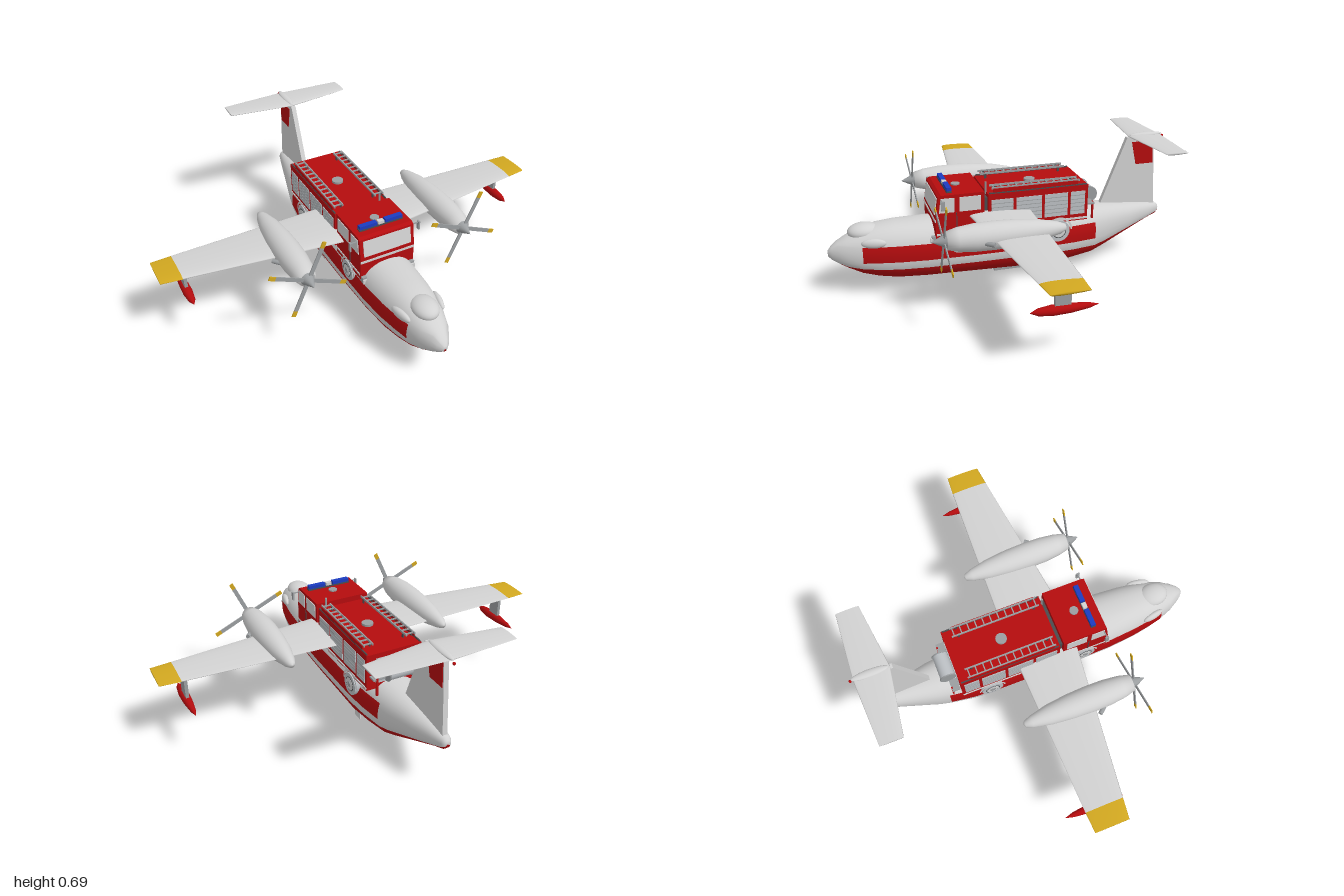
import * as THREE from 'three';

const mat = (name, color) => Object.assign(new THREE.MeshStandardMaterial({ color }), { name });
const red = mat('red', 0xb40c0e);
const white = mat('light grey', 0xd2d2d2);
const grey = mat('mid grey', 0x9b9ea0);
const panel = mat('shutter grey', 0xbcc0c4);
const dark = mat('dark grey', 0x4a4c4e);
const yellow = mat('yellow', 0xd2a820);
const blue = mat('blue', 0x1c3cc0);

const lerp = THREE.MathUtils.lerp;

export function createModel() {
  const root = new THREE.Group();
  const add = (name, geo, material, x = 0, y = 0, z = 0, parent = root) => {
    const m = new THREE.Mesh(geo, material);
    m.name = name;
    m.position.set(x, y, z);
    parent.add(m);
    return m;
  };
  const box = (name, material, w, h, d, x, y, z, parent) =>
    add(name, new THREE.BoxGeometry(w, h, d), material, x, y, z, parent);
  const cyl = (name, material, r, len, axis, x, y, z, sides = 24, parent = root) => {
    const g = new THREE.CylinderGeometry(r, r, len, sides);
    if (axis === 'x') g.rotateZ(Math.PI / 2);
    if (axis === 'z') g.rotateX(Math.PI / 2);
    return add(name, g, material, x, y, z, parent);
  };
  // flat slab from a side outline of [z, y] points, centred on x
  const slab = (name, material, pts, t, x = 0) => {
    const s = new THREE.Shape(pts.map(p => new THREE.Vector2(p[0], p[1])));
    const g = new THREE.ExtrudeGeometry(s, { depth: t, bevelEnabled: false });
    g.rotateY(-Math.PI / 2).translate(t / 2, 0, 0);
    return add(name, g, material, x);
  };
  // skin over closed rings (counter-clockwise about their axis); pick(i, j) gives the material index
  const loft = (name, rings, materials, pick = () => 0) => {
    const n = rings[0].length, pos = rings.flat(2), lists = materials.map(() => []);
    for (let i = 0; i < rings.length - 1; i++) for (let j = 0; j < n; j++) {
      const a = i * n + j, b = i * n + (j + 1) % n;
      lists[pick(i, j)].push(a, b, b + n, a, b + n, a + n);
    }
    [0, rings.length - 1].forEach((r, end) => {
      const c = pos.length / 3;
      for (let k = 0; k < 3; k++) pos.push(rings[r].reduce((s, p) => s + p[k], 0) / n);
      for (let j = 0; j < n; j++) {
        const a = r * n + j, b = r * n + (j + 1) % n;
        lists[pick(end ? r - 1 : 0, j)].push(...(end ? [a, b, c] : [b, a, c]));
      }
    });
    const g = new THREE.BufferGeometry();
    g.setAttribute('position', new THREE.Float32BufferAttribute(pos, 3));
    g.setIndex(lists.flat());
    let start = 0;
    lists.forEach((l, k) => { g.addGroup(start, l.length, k); start += l.length; });
    g.computeVertexNormals();
    return add(name, g, materials);
  };

  // hull: z, top, bottom, half width, top of the red bottom
  const stations = [
    [-0.865, 0.29, 0.255, 0.016, 0.262], [-0.85, 0.302, 0.24, 0.026, 0.255], [-0.8, 0.31, 0.222, 0.04, 0.235],
    [-0.68, 0.322, 0.168, 0.07, 0.2], [-0.53, 0.335, 0.1, 0.108, 0.156], [-0.47, 0.338, 0.074, 0.118, 0.142],
    [-0.35, 0.345, 0.056, 0.135, 0.142], [-0.23, 0.35, 0.042, 0.143, 0.143], [0.14, 0.355, 0.054, 0.147, 0.145],
    [0.4, 0.357, 0.061, 0.143, 0.146], [0.54, 0.357, 0.068, 0.131, 0.147], [0.63, 0.35, 0.084, 0.117, 0.15],
    [0.71, 0.33, 0.108, 0.1, 0.155], [0.775, 0.303, 0.142, 0.078, 0.162], [0.82, 0.28, 0.168, 0.053, 0.175],
    [0.85, 0.257, 0.188, 0.032, 0.19], [0.868, 0.235, 0.206, 0.012, 0.208]];
  const N = 2.3, segs = [8, 2, 3, 8], bands = segs.flatMap((s, k) => Array(s).fill(k));
  const hullRings = stations.map(([z, T, B, W, y1]) => {
    const y2 = Math.max(0.185, lerp(y1, T, 0.2));
    const y3 = Math.min(Math.max(0.27, lerp(y1, T, 0.5)), lerp(y1, T, 0.9));
    const c = (T + B) / 2, h = (T - B) / 2;
    const angles = [B, y1, Math.min(y2, y3 - 0.002), y3, T].map(y => {
      const t = THREE.MathUtils.clamp((y - c) / h, -1, 1);
      return Math.sign(t) * Math.asin(Math.abs(t) ** (N / 2));
    });
    const half = [];
    segs.forEach((s, k) => { for (let i = 0; i < s; i++) half.push(lerp(angles[k], angles[k + 1], i / s)); });
    half.push(Math.PI / 2);
    const pts = half.map(a => [W * Math.max(0, Math.cos(a)) ** (2 / N),
      c + h * Math.sign(Math.sin(a)) * Math.abs(Math.sin(a)) ** (2 / N), z]);
    return [...pts, ...pts.slice(1, -1).reverse().map(p => [-p[0], p[1], z])];
  });
  loft('hull', hullRings, [white, red], (i, j) => {
    const k = bands[j < bands.length ? j : 2 * bands.length - 1 - j];
    return k === 0 || (k === 2 && i >= 5 && i < 12) ? 1 : 0;
  });

  // cockpit blisters
  const blob = (name, x, y, z, rx, ry, rz, m = white) =>
    add(name, new THREE.SphereGeometry(1, 24, 16).scale(rx, ry, rz), m, x, y, z);
  blob('noseDome', 0, 0.318, 0.69, 0.062, 0.042, 0.08);
  for (const s of [-1, 1]) blob('sideBlister', s * 0.098, 0.288, 0.655, 0.018, 0.024, 0.06).rotation.y = -s * 0.2;

  // keel plate and water scoops
  box('keelPlate', grey, 0.055, 0.016, 0.39, 0, 0.035, -0.15);
  for (const s of [-1, 1]) box('scoop', white, 0.006, 0.055, 0.05, s * 0.07, 0.028, -0.185);

  // wing and tailplane: x, leading z, trailing z, mid y, thickness
  const foil = ([x, lead, trail, y, t]) => Array.from({ length: 24 }, (_, i) => {
    const a = i / 24 * Math.PI * 2, s = Math.sin(a);
    return [x, y + t / 2 * Math.cos(a) * (0.75 + 0.25 * s), (lead + trail) / 2 + s * (lead - trail) / 2];
  });
  const mirror = st => [...st.slice().reverse().map(s => [-s[0], ...s.slice(1)]), ...st];
  const wing = [[0.1, 0.205, -0.108, 0.395, 0.034], [0.9, 0.108, -0.08, 0.397, 0.021],
    [0.9, 0.108, -0.08, 0.397, 0.021], [1, 0.096, -0.074, 0.398, 0.016]];
  loft('wing', mirror(wing).map(foil), [white, yellow], i => (i === 0 || i === 6 ? 1 : 0));
  loft('tailplane', mirror([[0.001, -0.675, -0.85, 0.678, 0.022], [0.333, -0.72, -0.832, 0.678, 0.014]]).map(foil), [white]);
  blob('tailFairing', 0, 0.683, -0.77, 0.02, 0.012, 0.09);
  blob('tailBeacon', 0, 0.67, -0.864, 0.007, 0.007, 0.007, red);

  // fin with red side patches
  slab('fin', white, [[-0.53, 0.325], [-0.84, 0.29], [-0.812, 0.675], [-0.665, 0.675]], 0.024);
  for (const s of [-1, 1])
    slab('finPatch', red, [[-0.72, 0.53], [-0.815, 0.53], [-0.808, 0.65], [-0.692, 0.65]], 0.004, s * 0.0125);

  for (const s of [-1, 1]) {
    // engine pod
    const pod = new THREE.Group();
    pod.name = 'enginePod';
    pod.position.set(s * 0.413, 0.405, 0);
    root.add(pod);
    const prof = [[0, -0.192], [0.016, -0.185], [0.03, -0.15], [0.05, -0.06], [0.062, 0.05], [0.066, 0.15],
      [0.064, 0.24], [0.055, 0.32], [0.042, 0.37], [0, 0.375]].map(p => new THREE.Vector2(...p));
    add('nacelle', new THREE.LatheGeometry(prof, 28).rotateX(Math.PI / 2), white, 0, 0, 0, pod);
    add('spinner', new THREE.ConeGeometry(0.034, 0.07, 24).rotateX(Math.PI / 2), grey, 0, 0, 0.405, pod);
    cyl('exhaust', grey, 0.011, 0.05, 'z', s * 0.068, -0.01, 0.19, 12, pod).rotation.y = -s * 0.7;
    for (let k = 0; k < 4; k++) {
      const blade = new THREE.Group();
      blade.name = 'propellerBlade';
      blade.position.z = 0.382;
      blade.rotation.z = -0.42 + k * Math.PI / 2;
      pod.add(blade);
      box('bladeArm', grey, 0.02, 0.17, 0.005, 0, 0.085, 0, blade);
      box('bladeTip', yellow, 0.02, 0.032, 0.005, 0, 0.186, 0, blade);
    }
    // red panels under the wing
    box('underWingPanel', red, 0.29, 0.004, 0.065, s * 0.69, 0.386, 0.01).rotation.z = s * 0.007;
    box('underWingPanel', red, 0.14, 0.004, 0.075, s * 0.265, 0.381, 0.03).rotation.z = s * 0.007;
    // wing float
    box('floatPylon', grey, 0.016, 0.125, 0.07, s * 0.875, 0.33, -0.005);
    const fl = [[0, -0.165], [0.012, -0.12], [0.021, -0.04], [0.023, 0.04], [0.016, 0.1], [0, 0.135]]
      .map(p => new THREE.Vector2(...p));
    add('wingFloat', new THREE.LatheGeometry(fl, 20).rotateX(Math.PI / 2), red, s * 0.875, 0.258, 0);
  }

  // truck cab
  slab('cab', red, [[0.125, 0.29], [0.125, 0.512], [0.335, 0.512], [0.35, 0.503], [0.365, 0.405], [0.365, 0.29]], 0.286);
  const glass = box('windshield', white, 0.25, 0.082, 0.006, 0, 0.453, 0.3585);
  glass.rotation.x = -0.152;
  box('grilleStripe', white, 0.286, 0.012, 0.006, 0, 0.385, 0.365);
  box('bumper', grey, 0.28, 0.03, 0.025, 0, 0.29, 0.37);
  box('cabLink', dark, 0.25, 0.17, 0.03, 0, 0.39, 0.115);
  cyl('roofHatch', grey, 0.022, 0.008, 'y', 0, 0.514, 0.235);

  // light bar
  box('lightBarBase', dark, 0.23, 0.008, 0.026, 0, 0.516, 0.29);
  for (const s of [-1, 1]) box('blueLight', blue, 0.09, 0.018, 0.024, s * 0.067, 0.528, 0.29);
  box('lightBarCentre', white, 0.03, 0.016, 0.022, 0, 0.527, 0.29);

  // truck body
  box('body', red, 0.286, 0.185, 0.512, 0, 0.4025, -0.15);
  cyl('roofDisc', grey, 0.028, 0.012, 'y', 0, 0.5, -0.145);
  cyl('mast', grey, 0.005, 0.06, 'y', 0.1, 0.515, 0.107, 8);
  box('rearShutter', panel, 0.19, 0.13, 0.006, 0, 0.405, -0.407);
  cyl('hoseReel', panel, 0.038, 0.12, 'x', 0, 0.41, -0.447);
  for (const s of [-1, 1]) {
    const X = s * 0.1435;
    cyl('reelFlange', grey, 0.042, 0.006, 'x', s * 0.062, 0.41, -0.447);
    box('rearHandle', red, 0.01, 0.09, 0.008, s * 0.11, 0.345, -0.447);
    box('rearBracket', grey, 0.06, 0.008, 0.04, s * 0.1, 0.385, -0.43);
    // cab side windows, stripe and mirror
    slab('doorWindow', white, [[0.272, 0.425], [0.272, 0.497], [0.338, 0.497], [0.348, 0.425]], 0.006, X);
    box('rearCabWindow', white, 0.006, 0.072, 0.105, X, 0.461, 0.195);
    box('cabStripe', white, 0.005, 0.01, 0.23, X, 0.315, 0.245);
    box('doorSeam', dark, 0.005, 0.1, 0.004, X, 0.37, 0.262);
    box('mirrorArm', grey, 0.045, 0.005, 0.005, s * 0.16, 0.49, 0.335);
    box('mirror', grey, 0.008, 0.045, 0.018, s * 0.182, 0.474, 0.335);
    box('headlamp', white, 0.03, 0.022, 0.02, s * 0.125, 0.285, 0.38);
    // roller shutters with slats
    for (const [a, b] of [[0.09, -0.02], [-0.035, -0.165], [-0.18, -0.3], [-0.315, -0.39]]) {
      box('shutter', panel, 0.005, 0.12, a - b, X, 0.405, (a + b) / 2);
      for (let k = 0; k < 5; k++) box('slat', grey, 0.007, 0.003, a - b, X, 0.365 + k * 0.02, (a + b) / 2);
    }
    box('bodyStep', white, 0.006, 0.01, 0.51, X, 0.322, -0.15);
    box('roofEdge', dark, 0.006, 0.006, 0.5, s * 0.138, 0.498, -0.15);
    // roof ladder
    for (const x of [0.088, 0.132]) {
      box('ladderRail', grey, 0.006, 0.01, 0.45, s * x, 0.52, -0.138);
      for (const z of [-0.33, 0.06]) box('ladderPost', dark, 0.006, 0.024, 0.012, s * x, 0.506, z);
    }
    for (let k = 0; k < 12; k++) box('ladderRung', grey, 0.044, 0.006, 0.006, s * 0.11, 0.52, -0.35 + k * 0.0385);
    box('roofRail', red, 0.005, 0.018, 0.43, s * 0.137, 0.51, -0.138);
    // wheels with arches
    for (const [z, r] of [[0.25, 0.052], [-0.256, 0.056]]) {
      const arch = new THREE.RingGeometry(r + 0.004, r + 0.014, 24, 1, 0, Math.PI).rotateY(s * Math.PI / 2);
      add('wheelArch', arch, white, s * 0.151, 0.268, z);
      cyl('tyre', panel, r, 0.05, 'x', s * 0.128, 0.265, z);
      cyl('rim', dark, r * 0.66, 0.052, 'x', s * 0.128, 0.265, z);
      cyl('wheelDisc', white, r * 0.58, 0.054, 'x', s * 0.128, 0.265, z);
      cyl('hub', grey, r * 0.26, 0.06, 'x', s * 0.128, 0.265, z, 12);
    }
  }
  return root;
}
